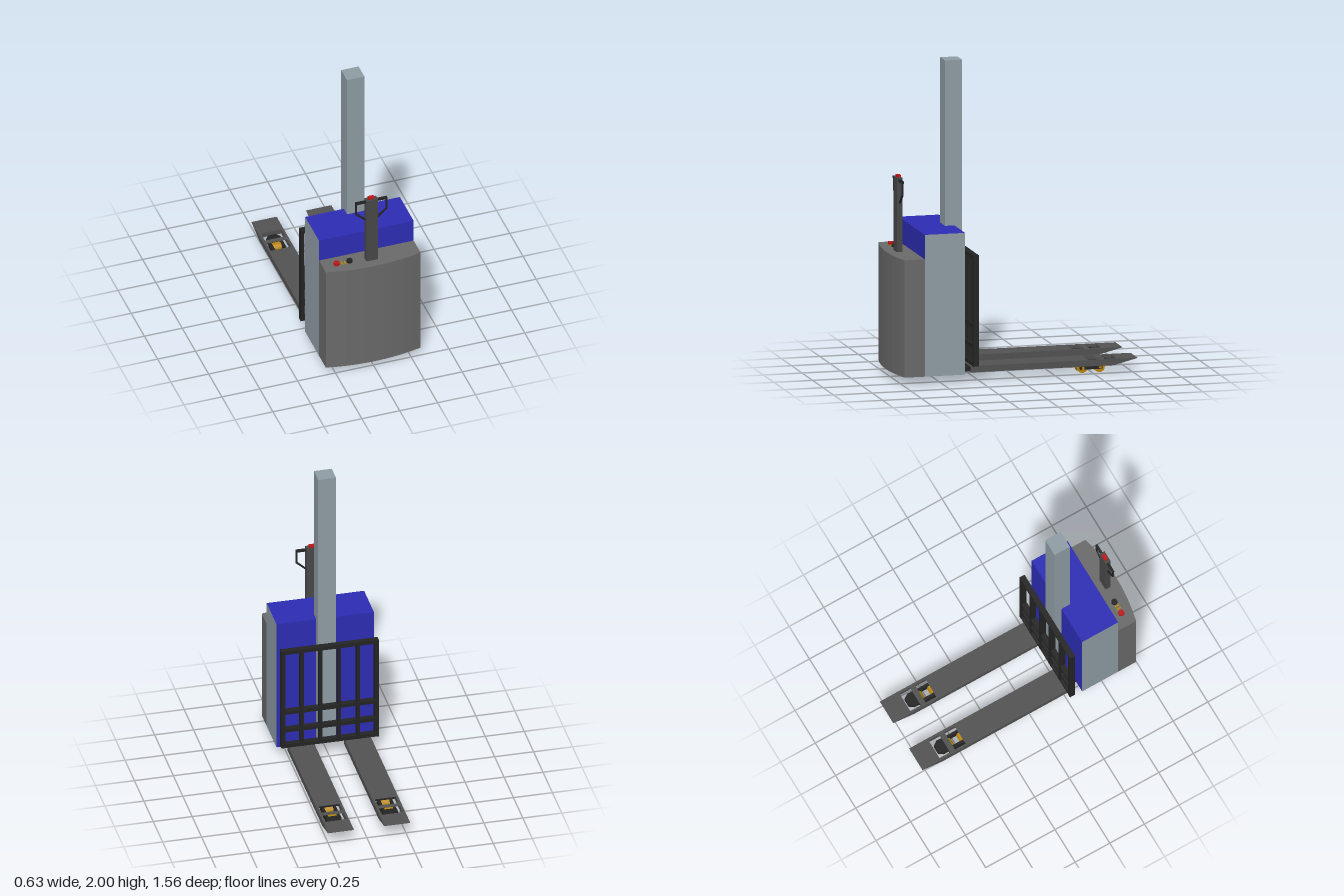
import * as THREE from 'three';

const mat = (color) => new THREE.MeshStandardMaterial({ color, flatShading: true });
const grey = mat(0x6a6a6a), blue = mat(0x2d2db5), steel = mat(0x909da5), dark = mat(0x242424);
const forkGrey = mat(0x525252), yellow = mat(0xb8860b), red = mat(0xc01515), handleGrey = mat(0x484848);

export function createModel() {
  const root = new THREE.Group();

  const add = (name, geometry, material, parent = root) => {
    const mesh = new THREE.Mesh(geometry, material);
    mesh.name = name;
    parent.add(mesh);
    return mesh;
  };
  // Box given by its limits on each axis
  const box = (name, [x0, x1], [y0, y1], [z0, z1], material, parent) => {
    const mesh = add(name, new THREE.BoxGeometry(x1 - x0, y1 - y0, z1 - z0), material, parent);
    mesh.position.set((x0 + x1) / 2, (y0 + y1) / 2, (z0 + z1) / 2);
    return mesh;
  };
  // Square bar between two points of an x-y plane
  const bar = (name, [xa, ya], [xb, yb], z, size, material, parent) => {
    const length = Math.hypot(xb - xa, yb - ya);
    const mesh = add(name, new THREE.BoxGeometry(length + size * 0.6, size, size), material, parent);
    mesh.position.set((xa + xb) / 2, (ya + yb) / 2, z);
    mesh.rotation.z = Math.atan2(yb - ya, xb - xa);
    return mesh;
  };
  const outline = (points, Type = THREE.Shape) => new Type(points.map(([a, b]) => new THREE.Vector2(a, b)));
  // Plan outline in (x, z), raised from y0 to y1
  const plan = (points, y0, y1, holes = []) => {
    const flip = (list) => list.map(([x, z]) => [x, -z]);
    const shape = outline(flip(points));
    holes.forEach((hole) => shape.holes.push(outline(flip(hole), THREE.Path)));
    return new THREE.ExtrudeGeometry(shape, { depth: y1 - y0, bevelEnabled: false })
      .rotateX(-Math.PI / 2).translate(0, y0, 0);
  };
  // Side profile in (z, y), from x0 to x1
  const profile = (points, x0, x1) =>
    new THREE.ExtrudeGeometry(outline(points), { depth: x1 - x0, bevelEnabled: false })
      .rotateY(-Math.PI / 2).translate(x1, 0, 0);
  const rect = (x0, x1, z0, z1) => [[x0, z0], [x1, z0], [x1, z1], [x0, z1]];

  // Body: blue front, back and top with steel sides and underside
  box('body', [-0.31, 0.315], [0.05, 0.95], [0.35, 0.61], [steel, steel, blue, steel, blue, blue]);

  // Front cover with a gently bowed face
  const cover = [[-0.31, 0.61]];
  for (let i = 0; i <= 10; i++) {
    const t = i / 5 - 1;
    cover.push([0.0025 + t * 0.3125, 0.778 - 0.038 * t * t]);
  }
  cover.push([0.315, 0.61]);
  add('frontCover', plan(cover, 0.05, 0.795), grey);

  box('mast', [-0.055, 0.06], [0.07, 2], [0.3, 0.41], steel);

  // Tiller handle with its looped grips
  const tiller = new THREE.Group();
  tiller.name = 'tiller';
  root.add(tiller);
  box('tillerColumn', [-0.034, 0.042], [0.79, 1.265], [0.68, 0.717], handleGrey, tiller);
  box('tillerButton', [-0.017, 0.023], [1.26, 1.28], [0.685, 0.708], red, tiller);
  for (const side of [-1, 1]) {
    const at = (x, y) => [0.004 + side * x, y];
    const points = [at(0.03, 1.248), at(0.1, 1.248), at(0.1, 1.165), at(0.036, 1.108)];
    for (let i = 0; i < 3; i++) bar('grip', points[i], points[i + 1], 0.697, i ? 0.01 : 0.015, dark, tiller);
  }

  // Controls on the cover
  const knob = (name, x, radius, height, material) =>
    add(name, new THREE.CylinderGeometry(radius, radius, height, 10), material).position.set(x, 0.795 + height / 2, 0.685);
  knob('stopButton', -0.22, 0.019, 0.018, red);
  knob('controlKnob', -0.135, 0.019, 0.018, dark);
  for (const x of [-0.185, -0.165])
    box('switch', [x - 0.005, x + 0.005], [0.79, 0.8], [0.672, 0.702], yellow);

  // Load guard: six posts and four rails
  const guard = new THREE.Group();
  guard.name = 'loadGuard';
  root.add(guard);
  for (let i = 0; i < 6; i++) {
    const x = -0.3075 + i * 0.12, half = i % 5 ? 0.01 : 0.0125;
    box('guardPost', [x - half, x + half], [0.095, 0.8], [0.256, 0.294], dark, guard);
  }
  for (const y of [0.1075, 0.22, 0.35, 0.7875])
    box('guardRail', [-0.32, 0.305], [y - 0.0125, y + 0.0125], [0.257, 0.293], dark, guard);

  // Forks: channel section, tapered tip, window and load rollers
  for (const cx of [-0.1875, 0.1735]) {
    const fork = new THREE.Group();
    fork.name = 'fork';
    fork.position.x = cx;
    root.add(fork);
    const w = 0.083;
    add('forkTop', plan(rect(-w, w, -0.65, 0.295), 0.08, 0.09, [
      rect(-0.067, 0.067, -0.648, -0.572), rect(-0.067, 0.067, -0.536, -0.46),
    ]), forkGrey, fork);
    const rail = [[0.295, 0.05], [0.295, 0.09], [-0.65, 0.09], [-0.65, 0.0555], [-0.63, 0.05]];
    add('forkSide', profile(rail, -w, -0.069), forkGrey, fork);
    add('forkSide', profile(rail, 0.069, w), forkGrey, fork);
    add('forkTip', profile([[-0.65, 0.0555], [-0.65, 0.09], [-0.78, 0.09], [-0.78, 0.088]], -w, w), forkGrey, fork);
    box('forkLiner', [-0.069, 0.069], [0.074, 0.08], [-0.455, 0.295], dark, fork);
    box('forkLink', [-0.047, 0.047], [0.05, 0.075], [0.25, 0.352], dark, fork);
    box('pushRod', [-0.02, 0.02], [0.056, 0.075], [-0.42, 0.27], dark, fork);

    // Roller carriage
    add('carriageNose', plan([[-0.047, -0.565], [-0.047, -0.605], [-0.025, -0.635], [0.025, -0.635],
      [0.047, -0.605], [0.047, -0.565]].reverse(), 0.05, 0.074), dark, fork);
    for (const side of [-1, 1]) {
      const x = side * 0.0375;
      box('carriageSide', [x - 0.0095, x + 0.0095], [0.024, 0.07], [-0.565, -0.42], dark, fork);
    }
    for (const z of [-0.438, -0.549]) {
      const roller = add('roller', new THREE.CylinderGeometry(0.036, 0.036, 0.056, 10), yellow, fork);
      roller.rotation.z = Math.PI / 2;
      roller.position.set(0, 0.0345, z);
      const axle = add('axle', new THREE.CylinderGeometry(0.009, 0.009, 0.1, 8), yellow, fork);
      axle.rotation.z = Math.PI / 2;
      axle.position.set(0, 0.0345, z);
    }
  }
  return root;
}
